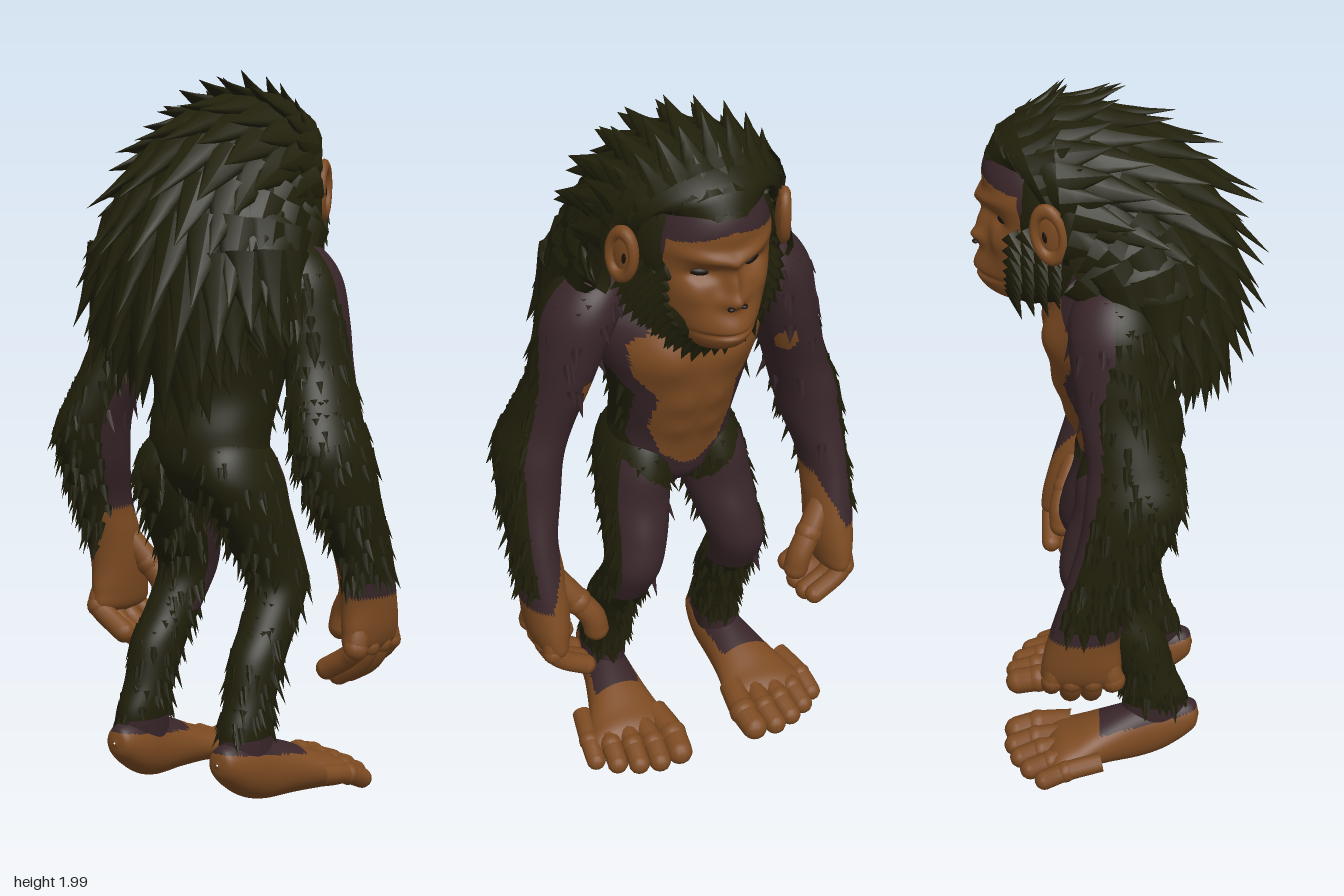
import * as THREE from 'three';
import { mergeGeometries } from 'three/addons/utils/BufferGeometryUtils.js';

const V = (x, y, z) => new THREE.Vector3(x, y, z);
const FUR = 0, HIDE = 1, SKIN = 2, DARK = 3;

export function createModel() {
  const mat = (name, color) => Object.assign(new THREE.MeshStandardMaterial({ color }), { name });
  const mats = [mat('darkFur', 0x21200b), mat('purpleHide', 0x39262a), mat('tanSkin', 0x7d4b22), mat('darkFeature', 0x1a120c)];
  mats[FUR].side = mats[HIDE].side = THREE.DoubleSide;
  let seed = 7;
  const rnd = () => (seed = (seed * 16807) % 2147483647) / 2147483647;
  const root = new THREE.Group();
  root.name = 'ape';

  const add = (parent, name, geo, m) => {
    const mesh = new THREE.Mesh(geo, Array.isArray(m) ? m : mats[m]);
    mesh.name = name;
    parent.add(mesh);
    return mesh;
  };
  const ball = (parent, name, m, p, r, rot = [0, 0, 0]) => {
    const b = add(parent, name, new THREE.SphereGeometry(1, 24, 16), m);
    b.position.set(...p); b.scale.set(...r); b.rotation.set(...rot);
  };
  // Smooth bump centred on 0
  const bump = (a, b = 0) => Math.exp(-a * a - b * b);

  // Flattened, bent lock of hair growing along dir
  function spike(p, dir, out, len, w, bend = 0, sides = 5) {
    const g = new THREE.ConeGeometry(w, len, sides, bend ? 3 : 1, true);
    g.translate(0, len / 2, 0).scale(1, 1, 0.45);
    const a = g.attributes.position;
    for (let i = 0; i < a.count; i++) a.setZ(i, a.getZ(i) + bend * (a.getY(i) / len) ** 2);
    const Y = dir.clone().normalize(), X = Y.clone().cross(out).normalize(), Z = X.clone().cross(Y);
    g.applyMatrix4(new THREE.Matrix4().makeBasis(X, Y, Z).setPosition(p));
    g.computeVertexNormals();
    return g;
  }

  // Elliptical sections [x, y, z, r, rz] along y (top down) or x (back to front);
  // rule picks each face's colour, relief pushes the front out,
  // tufts is the chance of a small lock on a furry face
  function loft(parent, name, rows, rule, { axis = 'y', steps = 44, seg = 36, tufts = 0, size = 0.05, relief = () => 0 } = {}) {
    const centre = new THREE.CatmullRomCurve3(rows.map(r => V(r[0], r[1], r[2])), false, 'catmullrom');
    const radius = new THREE.CatmullRomCurve3(rows.map(r => V(r[3], r[4], 0)), false, 'catmullrom');
    const pos = [], lists = [[], [], [], []], faces = [];
    for (let i = 0; i <= steps; i++) {
      const c = centre.getPoint(i / steps), r = radius.getPoint(i / steps);
      for (let j = 0; j < seg; j++) {
        const a = j / seg * Math.PI * 2, u = r.x * Math.cos(a), w = r.y * Math.sin(a);
        if (axis === 'x') pos.push(c.x, c.y + u, c.z + w);
        else pos.push(c.x + u + relief(c.y, Math.abs(w)) * Math.max(0, Math.cos(a)) ** 0.5, c.y, c.z + w);
      }
    }
    const at = k => V(pos[k * 3], pos[k * 3 + 1], pos[k * 3 + 2]);
    for (let i = 0; i < steps; i++) for (let j = 0; j < seg; j++) {
      const k = (j + 1) % seg, a = i * seg + j, b = i * seg + k, c = a + seg, d = b + seg;
      const ang = (j + 0.5) / seg * Math.PI * 2;
      for (const t of [[a, b, c], [b, d, c]]) {
        const p = at(t[0]).add(at(t[1])).add(at(t[2])).divideScalar(3);
        const m = rule(p, Math.cos(ang), Math.sin(ang));
        lists[m].push(...t);
        faces.push([t, p, m]);
      }
    }
    const g = new THREE.BufferGeometry();
    g.setAttribute('position', new THREE.Float32BufferAttribute(pos, 3));
    g.setIndex(lists.flat());
    let start = 0;
    lists.forEach((l, m) => { if (l.length) g.addGroup(start, l.length, m); start += l.length; });
    g.computeVertexNormals();
    add(parent, name, g, mats);
    if (!tufts) return;
    const locks = [[], []];
    for (const [t, p, m] of faces) {
      if (m > HIDE || rnd() > tufts * (m === FUR ? 1 : p.y > 1.3 ? 0.4 : 0.03)) continue;
      const n = V(0, 0, 0).fromBufferAttribute(g.attributes.normal, t[0]);
      const dir = n.clone().multiplyScalar(0.35).add(V(0, -1, (rnd() - 0.5) * 0.4));
      locks[m].push(spike(p.addScaledVector(n, -0.004), dir, n, size * (0.7 + rnd() * 0.6), size * 0.32, 0, 4));
    }
    locks.forEach((l, m) => l.length && add(parent, name + 'Tufts', mergeGeometries(l), m));
  }

  // Finger or toe with a rounded tip
  function digit(parent, name, pts, r) {
    const ps = pts.map(p => V(...p)), tip = ps[ps.length - 1];
    const tube = new THREE.TubeGeometry(new THREE.CatmullRomCurve3(ps), 10, r, 12);
    const end = new THREE.SphereGeometry(r, 12, 10).translate(tip.x, tip.y, tip.z);
    const knuckle = new THREE.SphereGeometry(r * 1.1, 12, 10).translate(ps[1].x, ps[1].y, ps[1].z);
    add(parent, name, mergeGeometries([tube, end, knuckle]), SKIN);
  }
  const ramp = (pts, y) => {
    const i = pts.findIndex(p => p[0] >= y);
    if (i < 1) return -1;
    const [a, b] = [pts[i - 1], pts[i]];
    return a[1] + (b[1] - a[1]) * (y - a[0]) / (b[0] - a[0]);
  };

  // Torso with bare chest and belly
  const bare = [[0.91, 0.02], [0.96, 0.085], [1.06, 0.125], [1.18, 0.115], [1.26, 0.18], [1.36, 0.2], [1.43, 0.1]];
  const apron = [[0.78, 0.04], [0.88, 0.08], [1, 0.16], [1.18, 0.165], [1.3, 0.25], [1.56, 0.3]];
  loft(root, 'torso', [
    [0.06, 1.64, 0, 0.09, 0.11], [0.05, 1.55, 0, 0.11, 0.14], [0.01, 1.47, 0, 0.15, 0.22], [0.01, 1.4, 0, 0.165, 0.27],
    [0.02, 1.31, 0, 0.172, 0.245], [0.02, 1.22, 0, 0.17, 0.21], [0.01, 1.12, 0, 0.158, 0.185], [-0.02, 1.02, 0, 0.155, 0.175],
    [-0.03, 0.93, 0, 0.14, 0.175], [-0.02, 0.86, 0, 0.11, 0.12], [-0.01, 0.81, 0, 0.05, 0.05], [-0.01, 0.8, 0, 0.002, 0.002],
  ], (p, c) => {
    const w = Math.abs(p.z);
    if (c > 0.1 && w < ramp(bare, p.y)) return SKIN;
    return c > 0.1 && w < ramp(apron, p.y) ? HIDE : FUR;
  }, {
    steps: 90, seg: 96, tufts: 0.008,
    relief: (y, w) => 0.03 * bump((w - 0.1) / 0.085, (y - 1.31) / 0.075)
      + 0.012 * bump((w - 0.05) / 0.04, (y - 1.15) / 0.045) + 0.01 * bump((w - 0.05) / 0.04, (y - 1.05) / 0.04),
  });

  // Head and jaw under the fur
  ball(root, 'skull', FUR, [0.16, 1.69, 0], [0.165, 0.21, 0.195]);
  ball(root, 'jaw', FUR, [0.225, 1.51, 0], [0.105, 0.12, 0.155]);

  // Face with heavy brow, sunken eyes, broad nose and muzzle
  loft(root, 'face', [
    [0.2, 1.87, 0, 0.08, 0.06], [0.2, 1.83, 0, 0.135, 0.115], [0.2, 1.77, 0, 0.16, 0.15], [0.2, 1.71, 0, 0.155, 0.165],
    [0.2, 1.65, 0, 0.14, 0.165], [0.2, 1.6, 0, 0.15, 0.16], [0.2, 1.54, 0, 0.154, 0.148], [0.2, 1.48, 0, 0.156, 0.125],
    [0.2, 1.43, 0, 0.145, 0.1], [0.2, 1.4, 0, 0.09, 0.06], [0.2, 1.39, 0, 0.002, 0.002],
  ], (p, c) => {
    if (c < 0.1 || p.y > 1.835 - Math.abs(p.z) * 0.25) return FUR;
    return p.y > 1.77 - Math.abs(p.z) * 0.2 || (c < 0.4 && p.y > 1.6) ? HIDE : SKIN;
  }, {
    steps: 110, seg: 120,
    relief: (y, w) => 0.026 * bump((y - 1.687 - 0.2 * w) / 0.022, w / 0.13)
      - 0.022 * bump((w - 0.072) / 0.034, (y - 1.648) / 0.018)
      + 0.03 * bump(w / 0.02, (y - 1.625) / 0.05) + 0.028 * bump(w / 0.038, (y - 1.575) / 0.022)
      + 0.032 * bump(w / 0.085, (y - 1.49) / 0.055) - 0.014 * bump((y - 1.477) / 0.007, w / 0.09)
      + 0.012 * bump((w - 0.1) / 0.03, (y - 1.59) / 0.035),
  });

  // Beard around the jaw
  const beard = [];
  for (let row = 0; row < 4; row++) for (let i = 0; i <= 22; i++) {
    const a = Math.PI * (-0.1 + 1.2 * (i + row % 2 * 0.5) / 22.5);
    const out = V(0.15, -Math.sin(a), Math.cos(a));
    const p = V(0.285 - row * 0.035, 1.6 - Math.sin(a) * (0.185 - row * 0.01), Math.cos(a) * (0.158 + row * 0.014));
    beard.push(spike(p, out.clone().multiplyScalar(0.5).add(V(-0.4, -0.6, 0)), out, 0.06 + rnd() * 0.025, 0.028));
  }
  add(root, 'beard', mergeGeometries(beard), FUR);

  // Mane: a cape from forehead to mid back, [x, y, half width, depth]
  const cape = [[0.352, 1.805, 0.085, 0.07], [0.305, 1.88, 0.19, 0.17], [0.17, 1.935, 0.24, 0.2], [0.01, 1.905, 0.265, 0.31],
    [-0.14, 1.815, 0.28, 0.35], [-0.24, 1.66, 0.305, 0.28], [-0.28, 1.49, 0.325, 0.2], [-0.27, 1.36, 0.27, 0.14], [-0.24, 1.28, 0.19, 0.1]];
  const spine = new THREE.CatmullRomCurve3(cape.map(c => V(c[0], c[1], 0)), false, 'catmullrom');
  const span = new THREE.CatmullRomCurve3(cape.map(c => V(c[2], c[3], 0)), false, 'catmullrom');
  function capePoint(u, v) {
    const p = spine.getPoint(u), s = span.getPoint(u), t = spine.getTangent(u);
    const n = V(t.y, -t.x, 0), a = v * 1.65;
    return {
      p: p.addScaledVector(n, -s.y * (1 - Math.cos(a))).add(V(0, 0.1 * u ** 3 * Math.sin(a) ** 2, s.x * Math.sin(a))), t,
      out: n.multiplyScalar(Math.cos(a)).add(V(0, 0, Math.sin(a))),
    };
  }
  const base = new THREE.PlaneGeometry(1, 1, 30, 30), bp = base.attributes.position;
  for (let i = 0; i < bp.count; i++) {
    const q = capePoint(0.5 - bp.getY(i), bp.getX(i) * 2).p;
    bp.setXYZ(i, q.x, q.y, q.z);
  }
  base.computeVertexNormals();
  add(root, 'maneBase', base, FUR);
  const mane = [];
  for (let r = 0; r < 13; r++) {
    const u = 0.005 + r / 12 * 0.975, cols = r < 2 ? 8 : 11, grow = Math.min(1, u * 2);
    for (let i = 0; i < cols; i++) {
      const v = ((i + (r % 2 ? 0.75 : 0.25)) / cols) * 2 - 1, { p, t, out } = capePoint(u, v);
      const len = (0.1 + 0.17 * grow) * (0.9 + rnd() * 0.25) * (1 - 0.3 * Math.abs(v));
      const dir = t.clone().addScaledVector(out, 0.06 + 0.12 * grow).add(V(r < 2 ? -0.7 : 0, -0.1 * u, (rnd() - 0.5) * 0.08));
      mane.push(spike(p.addScaledVector(out, -0.014), dir, out, len, 0.04 + 0.03 * grow, 0.025, 8));
    }
  }
  add(root, 'maneLocks', mergeGeometries(mane), FUR);

  // Hide reaches far round the shoulder and only the front of the forearm
  const hideEdge = [[0.4, 0.35], [0.95, 0.35], [1.1, 0], [1.25, -0.45], [1.4, -0.9], [1.6, -0.9]];

  // Everything that comes in pairs, built for +z and mirrored
  for (const s of [1, -1]) {
    const side = new THREE.Group();
    side.name = s > 0 ? 'rightSide' : 'leftSide';
    side.scale.z = s;
    root.add(side);

    // Eye and nostril
    ball(side, 'eye', DARK, [0.301, 1.65, 0.073], [0.016, 0.013, 0.03], [-0.15, -0.4, 0]);
    ball(side, 'nostril', DARK, [0.381, 1.563, 0.018], [0.009, 0.006, 0.01]);

    // Ear
    const ear = new THREE.Group();
    ear.name = 'ear';
    ear.position.set(0.185, 1.675, 0.23);
    ear.rotation.set(0, 0.4, -0.15);
    ear.scale.set(0.8, 1.3, 1);
    side.add(ear);
    add(ear, 'earRim', new THREE.TorusGeometry(0.05, 0.016, 10, 28), SKIN);
    ball(ear, 'earBowl', SKIN, [0, 0, -0.008], [0.05, 0.05, 0.014]);
    ball(ear, 'earHollow', DARK, [0.014, -0.004, 0.002], [0.01, 0.014, 0.006]);

    // Arm and palm
    loft(side, 'arm', [
      [0.02, 1.56, 0.225, 0.004, 0.004], [0.02, 1.53, 0.24, 0.08, 0.08], [0.02, 1.45, 0.275, 0.118, 0.108], [0.02, 1.33, 0.315, 0.114, 0.095],
      [0.01, 1.22, 0.345, 0.108, 0.085], [-0.02, 1.1, 0.385, 0.115, 0.087], [-0.03, 1, 0.42, 0.132, 0.09], [-0.005, 0.89, 0.435, 0.122, 0.083],
      [0.045, 0.77, 0.45, 0.105, 0.066], [0.085, 0.67, 0.448, 0.095, 0.066], [0.108, 0.58, 0.445, 0.098, 0.064],
      [0.115, 0.5, 0.445, 0.108, 0.056], [0.115, 0.45, 0.442, 0.1, 0.04], [0.115, 0.43, 0.44, 0.01, 0.01],
    ], (p, c, w) => {
      if (p.y < 0.595 + Math.max(0, 0.455 - p.z) * 2.6 && p.y < 0.75) return SKIN;
      if (c > 0.1 && w < 0.1 && Math.hypot((p.y - 1.22) * 0.6, p.z - 0.3) < 0.024) return SKIN;
      if (p.y < 0.64) return HIDE;
      return c > -0.4 && c - 0.9 * w > ramp(hideEdge, p.y) ? HIDE : FUR;
    }, { steps: 96, seg: 56, tufts: 0.06, size: 0.055 });

    // Fingers and thumb
    [[0.03, 0.37], [0.086, 0.345], [0.142, 0.345], [0.194, 0.365]].forEach(([x, y], i) =>
      digit(side, 'finger', [[x * 0.8 + 0.025, 0.52, 0.45], [x, 0.455, 0.457], [x + 0.003, y + 0.06, 0.43], [x + 0.003, y + 0.018, 0.362]], i === 3 ? 0.028 : 0.031));
    digit(side, 'thumb', [[0.12, 0.65, 0.415], [0.15, 0.575, 0.362], [0.165, 0.52, 0.325], [0.165, 0.475, 0.315]], 0.036);

    // Leg
    loft(side, 'leg', [
      [-0.04, 1.03, 0.08, 0.01, 0.01], [-0.04, 0.99, 0.09, 0.11, 0.08], [-0.03, 0.9, 0.11, 0.148, 0.1], [0, 0.8, 0.125, 0.13, 0.1],
      [0.045, 0.7, 0.14, 0.115, 0.09], [0.078, 0.6, 0.16, 0.092, 0.08], [0.03, 0.5, 0.17, 0.09, 0.074], [-0.03, 0.41, 0.175, 0.09, 0.072],
      [-0.07, 0.3, 0.178, 0.08, 0.066], [-0.095, 0.21, 0.182, 0.09, 0.062], [-0.088, 0.11, 0.188, 0.085, 0.058],
    ], (p, c, w) => {
      if (p.y < 0.2) return p.y < 0.13 ? SKIN : HIDE;
      return p.y > 0.49 && p.y < 0.78 + p.z * 0.9 && c - 0.4 * w > 0.28 ? HIDE : FUR;
    }, { steps: 80, seg: 48, tufts: 0.05, size: 0.05 });

    // Foot and toes
    loft(side, 'foot', [
      [-0.222, 0.14, 0.182, 0.003, 0.003], [-0.205, 0.138, 0.182, 0.045, 0.04], [-0.13, 0.118, 0.185, 0.08, 0.062], [-0.05, 0.1, 0.193, 0.088, 0.07],
      [0.05, 0.083, 0.205, 0.073, 0.09], [0.13, 0.066, 0.215, 0.057, 0.112], [0.19, 0.054, 0.22, 0.045, 0.124], [0.24, 0.045, 0.212, 0.004, 0.08],
    ], (p, c) => c > 0.2 && p.y > 0.138 - p.x * 0.15 && p.x < 0.065 ? HIDE : SKIN, { axis: 'x', steps: 64, seg: 48 });
    [[0.115, 0.3, 0.038], [0.18, 0.306, 0.032], [0.238, 0.29, 0.031], [0.293, 0.262, 0.03], [0.343, 0.222, 0.028]].forEach(([z, x, r]) =>
      digit(side, 'toe', [[x - 0.16, 0.075, z * 0.85 + 0.03], [x - 0.06, 0.06, z], [x, r + 0.008, z + 0.006]], r));
  }
  return root;
}
